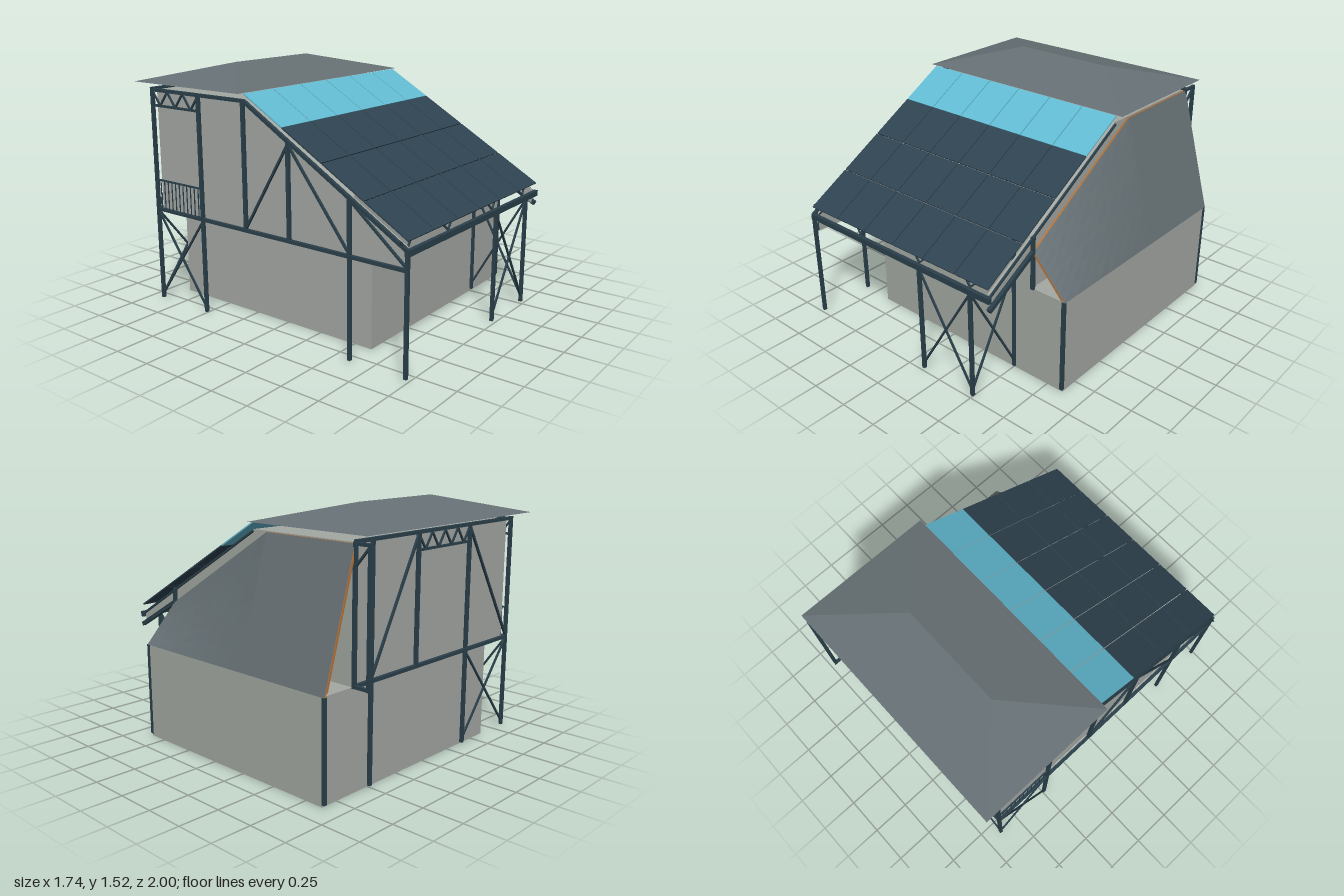
import * as THREE from 'three';

const mat = (name, color, double) => {
  const m = new THREE.MeshStandardMaterial({ color });
  m.name = name;
  if (double) m.side = THREE.DoubleSide;
  return m;
};

export function createModel() {
  const model = new THREE.Group();
  const wall = mat('wall grey', 0xa4a8a2);
  const slate = mat('slate grey', 0x667074, true);
  const steel = mat('steel blue', 0x2b404b);
  const solar = mat('solar dark blue', 0x2e4350);
  const glass = mat('skylight blue', 0x62bbd2);
  const timber = mat('timber orange', 0xb87438, true);

  const add = (name, geo, material, parent = model) => {
    const m = new THREE.Mesh(geo, material);
    m.name = name;
    parent.add(m);
    return m;
  };
  const box = (name, x0, x1, y0, y1, z0, z1, material, parent) => {
    const g = new THREE.BoxGeometry(x1 - x0, y1 - y0, z1 - z0);
    g.translate((x0 + x1) / 2, (y0 + y1) / 2, (z0 + z1) / 2);
    return add(name, g, material, parent);
  };
  // Square bar between two points
  const bar = (name, a, b, t = 0.02, material = steel) => {
    const p = new THREE.Vector3(...a), q = new THREE.Vector3(...b);
    const m = add(name, new THREE.BoxGeometry(t, t, p.distanceTo(q)), material);
    m.position.copy(p).add(q).multiplyScalar(0.5);
    m.lookAt(q);
    return m;
  };
  // Slab with a (z, y) outline, spanning x0..x1
  const slab = (name, pts, x0, x1, material) => {
    const g = new THREE.ExtrudeGeometry(new THREE.Shape(pts.map(p => new THREE.Vector2(...p))),
      { depth: x1 - x0, bevelEnabled: false });
    g.rotateY(-Math.PI / 2);
    g.translate(x1, 0, 0);
    return add(name, g, material);
  };
  // Flat-shaded mesh from quads given as corner lists
  const quads = (name, list, material) => {
    const v = [];
    for (const [a, b, c, d] of list) v.push(...a, ...b, ...c, ...a, ...c, ...d);
    const g = new THREE.BufferGeometry();
    g.setAttribute('position', new THREE.Float32BufferAttribute(v, 3));
    g.computeVertexNormals();
    return add(name, g, material);
  };
  const slopeY = z => 1.365 - (z + 0.12) * 0.5864;

  // Ground floor and upper room
  box('groundFloor', -0.62, 0.86, 0, 0.6, -0.87, 0.62, wall);
  slab('upperRoom', [[-0.87, 0.6], [0.62, 0.6], [0.62, slopeY(0.62)], [-0.12, 1.365], [-0.87, 1.365]], -0.805, 0.63, wall);
  slab('leftWing', [[0.62, 0.61], [0.97, 0.61], [0.97, slopeY(0.97)], [0.62, slopeY(0.62)]], -0.805, -0.793, wall);
  slab('rightWing', [[0.62, 0.84], [0.97, 0.64], [0.97, slopeY(0.97)], [0.62, slopeY(0.62)]], 0.618, 0.63, wall);

  // Hip roof with soffit
  const e = [[-0.87, 1.41, -0.12], [0.68, 1.41, -0.12], [0.68, 1.41, -1], [-0.87, 1.41, -1]];
  const r0 = [-0.43, 1.52, -0.56], r1 = [0.24, 1.52, -0.56];
  quads('hipRoof', [[e[0], e[1], r1, r0], [e[2], e[3], r0, r1], [e[1], e[2], r1, r1],
    [e[3], e[0], r0, r0], [e[3], e[2], e[1], e[0]]], slate);

  // Sloping roof: one skylight row and three solar rows
  const pitch = new THREE.Group();
  pitch.name = 'slopingRoof';
  pitch.position.set(0, 1.405, -0.12);
  pitch.rotation.x = Math.atan2(0.64, 1.11);
  model.add(pitch);
  const cw = 1.467 / 6, rl = 1.281 / 4;
  for (let r = 0; r < 4; r++) for (let c = 0; c < 6; c++) {
    const x = -0.827 + c * cw, z = r * rl;
    box(r ? 'solarPanel' : 'skylight', x + 0.003, x + cw - 0.003, -0.004, 0.004,
      z + (r ? 0.003 : 0), z + rl - (r ? 0.003 : 0), r ? solar : glass, pitch);
  }

  // Leaning tiled side: straight foot, top edge following the roof slope
  const topY = z => Math.min(1.36, 0.84 + (0.62 - z) * 0.605);
  const at = (z, t, d = 0) => [0.865 - 0.22 * t - d, 0.6 + (topY(z) - 0.6) * t, z];
  const ruled = (d) => {
    const list = [], n = 14, rows = 6;
    const zs = i => 0.625 - 1.515 * i / n;
    for (let i = 0; i < n; i++) for (let j = 0; j < rows; j++) {
      const t0 = j / rows, t1 = (j + 1) / rows;
      list.push([at(zs(i), t0, d), at(zs(i + 1), t0, d), at(zs(i + 1), t1, d), at(zs(i), t1, d)]);
    }
    return list;
  };
  quads('tiledSide', ruled(0), slate);
  quads('tiledSideLining', ruled(0.012), timber);
  for (const z of [0.618, -0.883]) bar('timberEdge', at(z, 0.03, 0.012), at(z, 0.98, 0.012), 0.014, timber);

  // Posts: x, z, bottom, top
  const L = -0.825, R = 0.64, B = -0.89, F = 0.985;
  for (const [x, z, y0, y1] of [
    [L, F, 0.015, 0.72], [L, 0.62, 0.015, 0.93], [L, -0.49, 0.015, 1.37], [L, B, 0.015, 1.38],
    [L, -0.13, 0.6, 1.365], [L, 0.2, 0.6, 1.17],
    [0.115, F, 0.015, 0.72], [0.505, F, 0.015, 0.72], [0.505, 0.625, 0.015, 0.93],
    [-0.376, B, 0.015, 1.38], [0.505, B, 0.015, 1.38], [0.115, B, 0.6, 1.38],
    [R, 0.625, 0.6, 0.93], [R, -0.99, 0.6, 1.37], [R, B, 0.6, 1.37],
    [0.855, 0.62, 0.015, 0.6], [0.855, -0.88, 0.015, 0.6],
  ]) box('post', x - 0.01, x + 0.01, y0, y1, z - 0.01, z + 0.01, steel);

  // Beams
  box('frontBeam', L - 0.01, R + 0.01, 0.685, 0.72, F - 0.012, F + 0.012, steel);
  bar('backFloorBeam', [L, 0.61, B], [R, 0.61, B]);
  bar('backTopBeam', [L, 1.37, B], [R, 1.37, B]);
  bar('leftFloorBeam', [L, 0.61, B], [L, 0.61, F]);
  bar('leftTopBeam', [L, 1.365, B], [L, 1.365, -0.12]);
  bar('leftRafter', [L, 1.365, -0.12], [L, 0.715, F]);
  bar('rightRafter', [R - 0.005, 1.355, -0.12], [R - 0.005, 0.705, F], 0.012);
  bar('rightStrut', [R, 0.635, F], [R, 0.84, 0.62], 0.025);
  for (const y of [0.61, 1.36]) bar('backFrameRail', [R, y, B], [R, y, -0.99], 0.018);
  bar('backFrameBrace', [R, 1.24, B], [R, 1.35, -0.985], 0.012);

  // Crossed braces between posts
  const cross = (x0, z0, x1, z1, y0 = 0.04, y1 = 0.6) => {
    bar('crossBrace', [x0, y0, z0], [x1, y1, z1], 0.011);
    bar('crossBrace', [x0, y1, z0], [x1, y0, z1], 0.011);
  };
  cross(0.115, F, 0.505, F, 0.05, 0.69);
  cross(0.505, F, 0.505, 0.625, 0.05, 0.69);
  cross(L, B, -0.376, B);
  cross(L, B, L, -0.49);

  // Single diagonals of the upper frame
  for (const [a, b] of [
    [[0.505, 0.62, B], [0.115, 1.36, B]], [[-0.376, 1.36, B], [L, 0.62, B]],
    [[L, 0.62, -0.13], [L, 1.16, 0.2]], [[L, 1.16, 0.2], [L, 0.62, 0.62]],
    [[L, 0.92, 0.62], [L, 0.62, F]],
  ]) bar('diagonal', a, b, 0.013);

  // Shallow zigzag trusses
  const truss = (a, b, y0, y1, n) => {
    const p = i => [a[0] + (b[0] - a[0]) * i / n, i % 2 ? y0 : y1, a[1] + (b[1] - a[1]) * i / n];
    for (let i = 0; i < n; i++) bar('trussWeb', p(i), p(i + 1), 0.01);
    bar('trussChord', [a[0], y0, a[1]], [b[0], y0, b[1]], 0.014);
  };
  truss([0.115, B], [-0.376, B], 1.27, 1.36, 8);
  truss([L, B], [L, -0.49], 1.27, 1.36, 6);
  for (const x of [-0.8, -0.4, 0.1, 0.49]) for (const s of [-1, 1])
    bar('frontStrut', [x, 0.715, F - 0.02], [x + s * 0.05, 0.765, F - 0.03], 0.01);

  // Balcony railing
  bar('railingTop', [L, 0.8, B], [L, 0.8, -0.49], 0.01);
  for (let i = 1; i < 12; i++) {
    const z = B + 0.4 * i / 12;
    bar('railingBar', [L, 0.61, z], [L, 0.8, z], 0.005);
  }
  return model;
}
